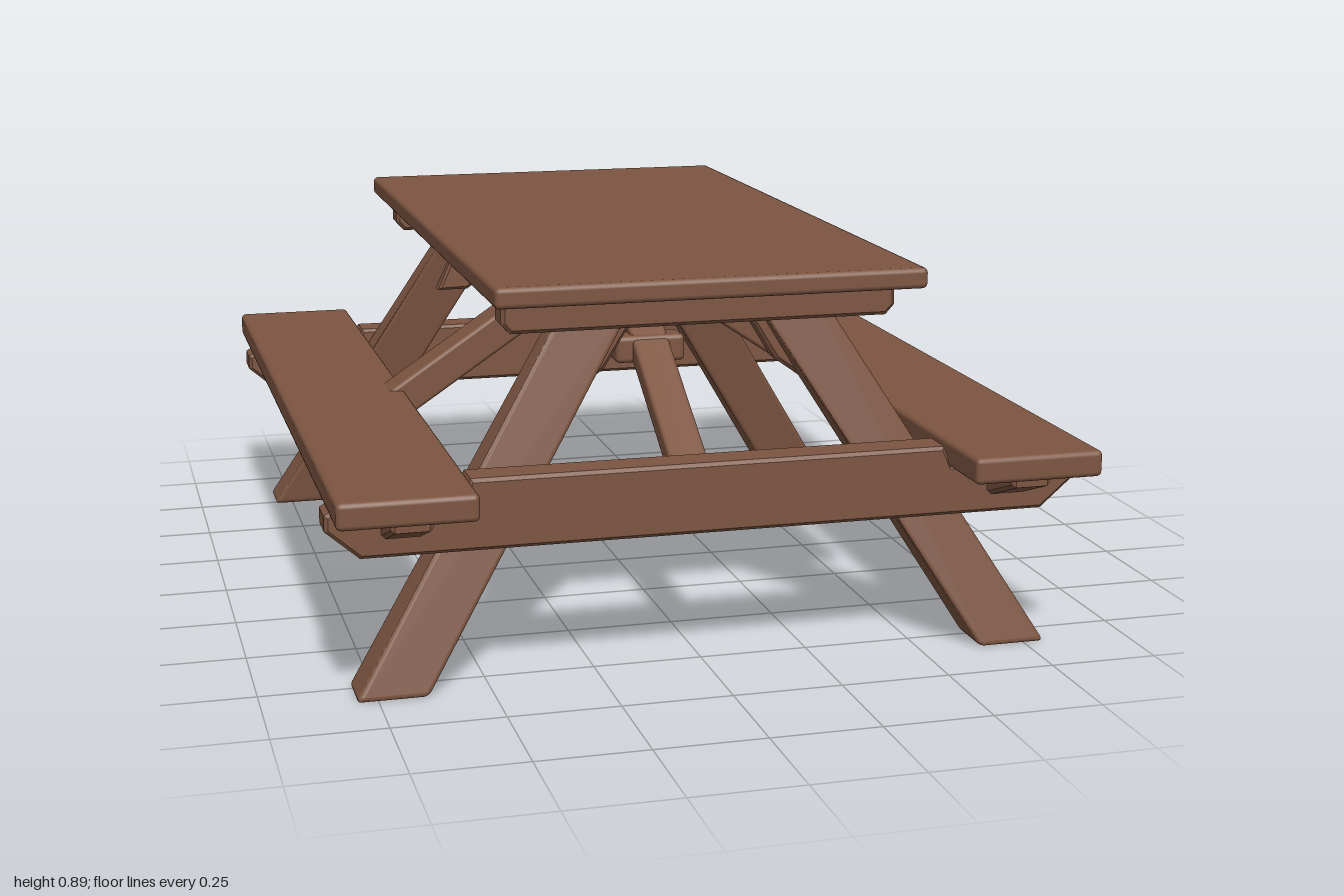
import * as THREE from 'three';
import { RoundedBoxGeometry } from 'three/addons/geometries/RoundedBoxGeometry.js';

export function createModel() {
  const wood = new THREE.MeshStandardMaterial({ color: 0x7d5541 });
  wood.name = 'brown wood';
  const model = new THREE.Group();
  model.name = 'picnicTable';

  function add(name, geometry) {
    const mesh = new THREE.Mesh(geometry, wood);
    mesh.name = name;
    model.add(mesh);
    return mesh;
  }

  // Softly rounded board given by its limits on each axis
  function board(name, x0, x1, y0, y1, z0, z1, r = 0.012) {
    const mesh = add(name, new RoundedBoxGeometry(x1 - x0, y1 - y0, z1 - z0, 2, r));
    mesh.position.set((x0 + x1) / 2, (y0 + y1) / 2, (z0 + z1) / 2);
    return mesh;
  }

  // Board cut to an outline in x and y, running from z0 to z1 with eased edges
  function cutBoard(name, points, z0, z1) {
    const b = 0.008;
    const shape = new THREE.Shape(points.map(([x, y]) => new THREE.Vector2(x, y)));
    const geometry = new THREE.ExtrudeGeometry(shape, {
      depth: z1 - z0 - 2 * b, bevelEnabled: true, bevelSize: b, bevelOffset: -b,
      bevelThickness: b, bevelSegments: 1,
    });
    geometry.translate(0, 0, z0 + b);
    return add(name, geometry);
  }

  // Straight strut between two points
  function strut(name, from, to, width, depth) {
    const a = new THREE.Vector3(...from), c = new THREE.Vector3(...to);
    const mesh = add(name, new RoundedBoxGeometry(width, depth, a.distanceTo(c), 2, 0.01));
    mesh.position.copy(a).add(c).multiplyScalar(0.5);
    mesh.lookAt(c);
    return mesh;
  }

  // Splayed leg: a box sheared in both directions and tapered towards the top
  function leg(sx, sz) {
    const geometry = new RoundedBoxGeometry(0.16, 0.84, 0.12, 2, 0.012);
    const p = geometry.attributes.position;
    for (let i = 0; i < p.count; i++) {
      const y = p.getY(i) + 0.42;
      const taper = 1 - 0.5 * y / 0.84;
      p.setXYZ(i, p.getX(i) + sx * (0.72 - 0.62 * y), y,
        p.getZ(i) * taper + sz * (0.79 - 0.18 * y));
    }
    geometry.computeVertexNormals();
    add('leg', geometry);
  }

  // Table top and the two benches
  board('tableTop', -0.485, 0.485, 0.845, 0.892, -0.85, 0.85);
  for (const s of [-1, 1]) {
    board('bench', s * 0.7 - 0.15, s * 0.7 + 0.15, 0.432, 0.492, -1, 1);
  }

  const span = (z0, z1, s) => (s > 0 ? [z0, z1] : [-z1, -z0]);

  for (const sz of [-1, 1]) {
    // End frame: long bench beam with chamfered ends, and the cleat under the top
    cutBoard('benchBeam', [
      [-0.78, 0.32], [0.78, 0.32], [0.855, 0.385], [0.855, 0.42], [0.83, 0.435],
      [0.56, 0.435], [0.54, 0.48], [-0.54, 0.48], [-0.56, 0.435], [-0.83, 0.435],
      [-0.855, 0.42], [-0.855, 0.385],
    ], ...span(0.75, 0.84, sz));
    cutBoard('topCleat', [
      [-0.43, 0.768], [0.43, 0.768], [0.45, 0.79], [0.45, 0.83], [0.43, 0.846],
      [-0.43, 0.846], [-0.45, 0.83], [-0.45, 0.79],
    ], ...span(0.665, 0.74, sz));

    // Long diagonal brace from the middle of the top down to the beam
    strut('longBrace', [0, 0.8, sz * 0.02], [0, 0.34, sz * 0.76], 0.09, 0.05);
    board('braceBlock', -0.085, 0.085, 0.59, 0.655, sz * 0.28 - 0.035, sz * 0.28 + 0.035);
    // Middle cleat under the top
    board('middleCleat', -0.4, 0.4, 0.79, 0.848, sz * 0.09 - 0.02, sz * 0.09 + 0.02, 0.008);

    for (const sx of [-1, 1]) {
      leg(sx, sz);
      // Gusset on the inner face of the leg
      const outline = [[0.09, 0.84], [0.2, 0.66], [0.27, 0.61], [0.35, 0.61], [0.25, 0.84]];
      cutBoard('legGusset', outline.map(([x, y]) => [sx * x, y]), ...span(0.6, 0.655, sz));
      // Wedge carrying the end of the bench
      const wedge = cutBoard('benchWedge', [
        [-0.98, 0.437], [-0.98, 0.415], [-0.85, 0.365], [-0.67, 0.365], [-0.67, 0.437],
      ], -0.045, 0.045);
      wedge.rotation.y = sz * Math.PI / 2;
      wedge.position.x = sx * 0.69;
    }
  }

  // Middle frame: struts from the top out to each bench
  for (const sx of [-1, 1]) {
    strut('benchBrace', [sx * 0.04, 0.81, 0], [sx * 0.67, 0.37 + 0.02, 0], 0.1, 0.08);
    board('benchBlock', sx * 0.7 - 0.11, sx * 0.7 + 0.11, 0.405, 0.44, -0.055, 0.055, 0.01);
  }
  board('middlePost', -0.05, 0.05, 0.72, 0.85, -0.06, 0.06);

  return model;
}
